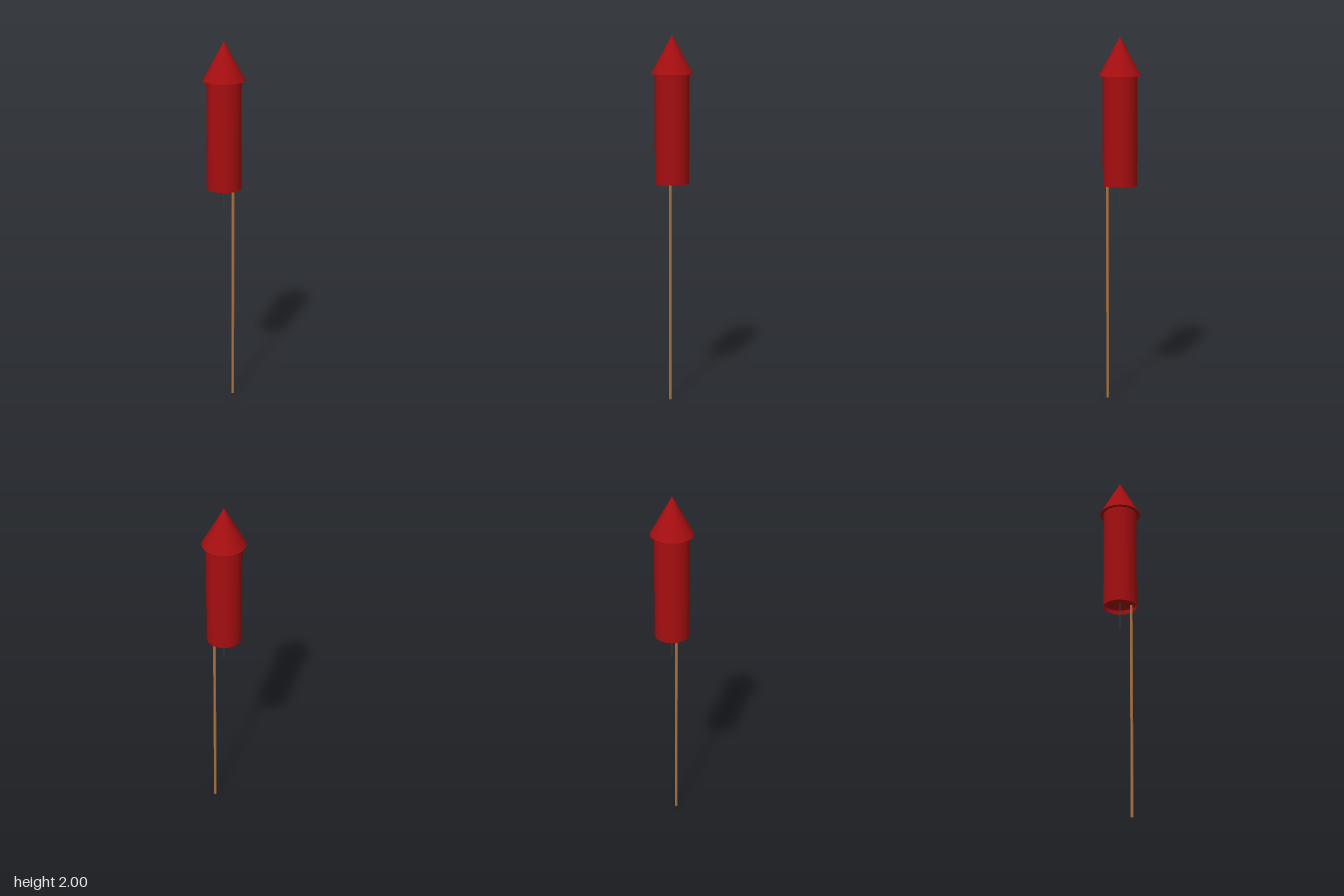
import * as THREE from 'three';

export function createModel() {
  const red = new THREE.MeshStandardMaterial({ color: 0xa50e10, side: THREE.DoubleSide });
  red.name = 'red paper';
  const wood = new THREE.MeshStandardMaterial({ color: 0xa8713f });
  wood.name = 'wood';
  const grey = new THREE.MeshStandardMaterial({ color: 0x3c3c3c });
  grey.name = 'fuse grey';

  const model = new THREE.Group();
  model.name = 'fireworkRocket';
  const add = (name, geometry, material, y, z = 0) => {
    const mesh = new THREE.Mesh(geometry, material);
    mesh.name = name;
    mesh.position.set(0, y, z);
    model.add(mesh);
  };

  const bottom = 1.197, shoulder = 1.79, recess = bottom + 0.026;
  const radius = 0.094;

  // Paper tube, open below, with a plug set slightly inside
  add('bodyTube', new THREE.CylinderGeometry(radius, radius, shoulder - bottom, 32, 1, true),
    red, (shoulder + bottom) / 2);
  add('bottomPlug', new THREE.CircleGeometry(radius, 32).rotateX(Math.PI / 2), red, recess);

  // Overhanging pointed cap with a closed underside
  add('noseCone', new THREE.ConeGeometry(0.115, 2 - shoulder, 32), red, (2 + shoulder) / 2);

  // Guide stick at the front inner wall
  add('stick', new THREE.CylinderGeometry(0.008, 0.008, recess, 12), wood, recess / 2, 0.069);

  // Thin fuse hanging from the plug
  const fuseEnd = 1.065;
  add('fuse', new THREE.CylinderGeometry(0.003, 0.003, recess - fuseEnd, 8), grey,
    (recess + fuseEnd) / 2);

  return model;
}
